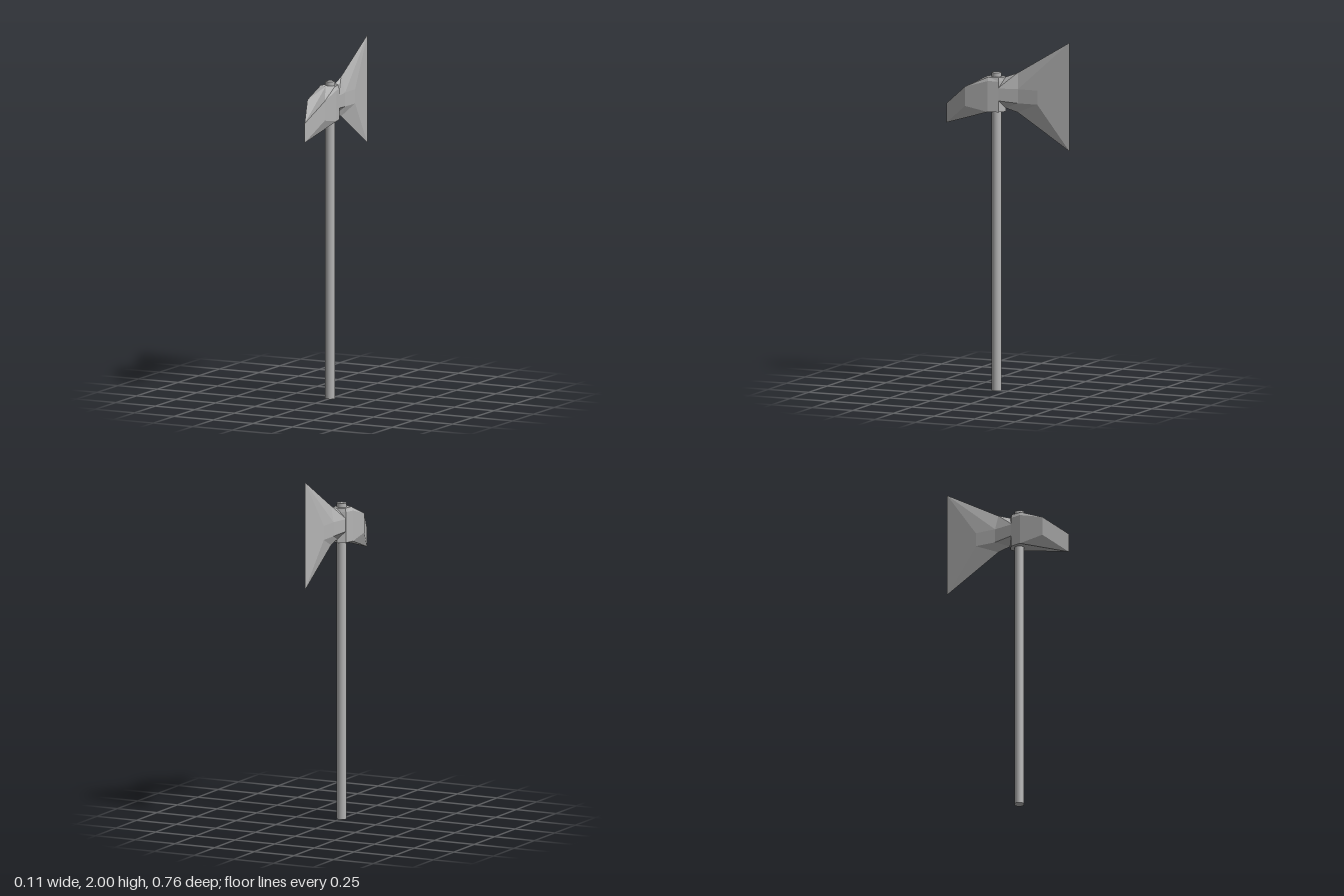
import * as THREE from 'three';

// Lofts half cross-sections (x >= 0) and mirrors them across x = 0.
function mirroredLoft(sections) {
  const pos = [];
  const tri = (...corners) => {
    const [a, b, c] = corners.map((p) => new THREE.Vector3(...p));
    if (new THREE.Triangle(a, b, c).getArea() < 1e-7) return;
    for (const p of [a, b, c]) pos.push(p.x, p.y, p.z);
    for (const p of [a, c, b]) pos.push(-p.x, p.y, p.z);
  };
  for (let j = 0; j < sections.length - 1; j++) {
    const a = sections[j], b = sections[j + 1];
    for (let i = 0; i < a.length - 1; i++) {
      tri(a[i], a[i + 1], b[i]);
      tri(a[i + 1], b[i + 1], b[i]);
    }
  }
  const geo = new THREE.BufferGeometry();
  geo.setAttribute('position', new THREE.Float32BufferAttribute(pos, 3));
  geo.computeVertexNormals();
  return geo;
}

export function createModel() {
  const group = new THREE.Group();
  const steel = new THREE.MeshStandardMaterial({ color: 0xb4b4b4 });
  steel.name = 'grey';
  const add = (name, geo) => {
    const mesh = new THREE.Mesh(geo, steel);
    mesh.name = name;
    group.add(mesh);
    return mesh;
  };

  // Round shaft through the head
  const shaft = new THREE.CylinderGeometry(0.028, 0.028, 1.805, 24);
  add('handle', shaft).position.set(0, 0.9025, 0.07);

  // Six-sided socket, chamfered at the top
  const ring = (y, front, back) => [[0, y, 0.125], [front, y, 0.1], [back, y, 0.04], [0, y, 0.013]];
  const centre = (y) => Array(4).fill([0, y, 0.07]);
  add('socket', mirroredLoft([
    centre(1.585),
    ring(1.585, 0.055, 0.042),
    ring(1.76, 0.055, 0.042),
    ring(1.782, 0.045, 0.037),
    centre(1.782),
  ]));

  // Drooping front beak ending in a vertical edge
  const beakTop = [0, 1.61, 0.378], beakTip = [0, 1.5, 0.378];
  const shoulder = [0.055, 1.72, 0.24];
  add('beak', mirroredLoft([
    [beakTop, beakTop, beakTop, beakTip, beakTip],
    [beakTop, shoulder, shoulder, [0.055, 1.61, 0.24], beakTip],
    [[0, 1.782, 0.125], [0.045, 1.782, 0.1], [0.055, 1.76, 0.1], [0.055, 1.585, 0.1], [0, 1.585, 0.125]],
  ]));

  // Neck flaring into the sharp rear blade
  const bladeTop = [0, 2, -0.378], bladeLow = [0, 1.385, -0.378];
  add('blade', mirroredLoft([
    [[0, 1.782, 0.013], [0.042, 1.72, 0.045], [0.042, 1.65, 0.045], [0, 1.605, 0.013]],
    [[0, 1.81, -0.06], [0.021, 1.72, -0.07], [0.021, 1.64, -0.07], [0, 1.585, -0.06]],
    [bladeTop, [0.021, 1.72, -0.19], [0.021, 1.64, -0.19], bladeLow],
    [bladeTop, bladeTop, bladeLow, bladeLow],
  ]));

  return group;
}
